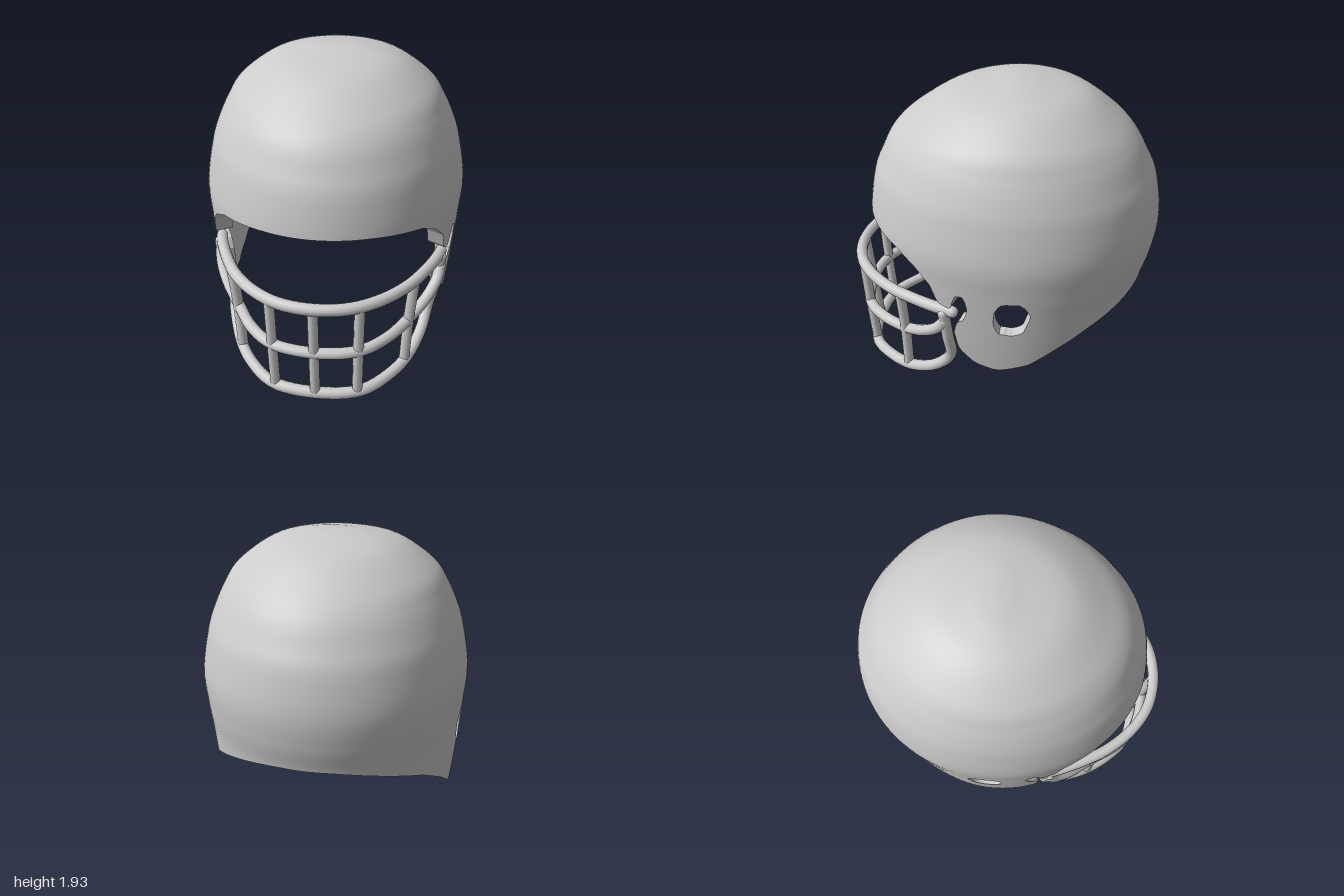
import * as THREE from 'three';

const V = (x, y, z) => new THREE.Vector3(x, y, z);
const grey = new THREE.MeshStandardMaterial({ color: 0xcccccc });

// Shell cross-sections from crown to ear flap: y, half width, front z, back z
const sections = [
  [1.935, 0, -0.1, -0.1], [1.92, 0.2, 0.03, -0.25], [1.86, 0.41, 0.32, -0.5], [1.72, 0.605, 0.55, -0.7],
  [1.6, 0.685, 0.685, -0.82], [1.46, 0.75, 0.762, -0.9], [1.33, 0.79, 0.815, -0.958], [1.1, 0.83, 0.855, -0.995],
  [0.9, 0.82, 0.86, -0.975], [0.72, 0.805, 0.86, -0.93], [0.5, 0.785, 0.85, -0.9], [0.27, 0.76, 0.83, -0.85],
];
const spread = new THREE.CatmullRomCurve3(sections.map(s => V(s[1], s[2], s[3])), false, 'catmullrom');
const heights = new THREE.CatmullRomCurve3(sections.map(s => V(0, s[0], 0)), false, 'catmullrom');

// Side outline (z, y) of the shell with brim, jaw prong, notch and ear flap, and the ear hole
const outline = [
  [1.3, 1.14], [1.3, 2.3], [-1.3, 2.3], [-1.3, 0.76], [-0.92, 0.735], [-0.58, 0.59], [-0.4, 0.48], [-0.23, 0.36],
  [-0.04, 0.3], [0.1, 0.34], [0.2, 0.44], [0.225, 0.58], [0.2, 0.67], [0.16, 0.69], [0.135, 0.78], [0.15, 0.87],
  [0.2, 0.885], [0.225, 0.82], [0.24, 0.755], [0.32, 0.78], [0.365, 0.9], [0.465, 1.0], [0.58, 1.065], [0.79, 1.1],
];
const earHole = [
  [-0.07, 0.865], [-0.2, 0.865], [-0.245, 0.775], [-0.2, 0.645], [-0.15, 0.62], [-0.05, 0.62], [-0.02, 0.7], [-0.03, 0.8],
];

// Signed distance to a polygon, positive inside
function inside(poly, px, py) {
  let d = Infinity, sign = -1;
  poly.forEach(([ax, ay], i) => {
    const [bx, by] = poly[(i + 1) % poly.length];
    const ex = bx - ax, ey = by - ay;
    const t = THREE.MathUtils.clamp(((px - ax) * ex + (py - ay) * ey) / (ex * ex + ey * ey), 0, 1);
    d = Math.min(d, Math.hypot(px - ax - t * ex, py - ay - t * ey));
    if ((ay > py) !== (by > py) && px < ax + (ex * (py - ay)) / ey) sign = -sign;
  });
  return sign * d;
}

function surface(u, v) {
  const s = spread.getPoint(v), y = heights.getPoint(v).y;
  const c = Math.cos(u), mid = -0.1;
  return V(s.x * Math.sin(u), y, mid + (c > 0 ? (s.y - mid) * c : (mid - s.z) * c));
}

function shellPoint(u, v) {
  const p = surface(u, v), e = 0.004;
  const n = v < 0.001 ? V(0, 1, 0)
    : surface(u, Math.min(1, v + e)).sub(surface(u, v - Math.min(e, v)))
      .cross(surface(u + e, v).sub(surface(u - e, v))).normalize();
  return { p, n, f: Math.min(inside(outline, p.z, p.y), -inside(earHole, p.z, p.y)) };
}

// Inner side of the shell, thicker around the brim and prongs
function inner({ p, n }) {
  return p.clone().addScaledVector(n, -0.07 - 0.04 * THREE.MathUtils.smoothstep(p.z, 0.1, 0.3));
}

// Thick shell: the dome is trimmed by the side outline, doubled inward and closed along the cut
function shellGeometry(rows, cols) {
  const pos = [], nor = [];
  const put = (p, n) => { pos.push(p.x, p.y, p.z); nor.push(n.x, n.y, n.z); };
  const trim = tri => {
    const out = [];
    tri.forEach((a, i) => {
      const b = tri[(i + 1) % 3];
      if (a.f >= 0) out.push(a);
      if ((a.f >= 0) !== (b.f >= 0)) {
        const t = a.f / (a.f - b.f);
        out.push({ p: a.p.clone().lerp(b.p, t), n: a.n.clone().lerp(b.n, t).normalize(), cut: true });
      }
    });
    for (let i = 1; i < out.length - 1; i++) {
      const t = [out[0], out[i], out[i + 1]];
      t.forEach(a => put(a.p, a.n));
      t.reverse().forEach(a => put(inner(a), a.n.clone().negate()));
    }
    out.forEach((a, i) => {
      const b = out[(i + 1) % out.length];
      if (!a.cut || !b.cut) return;
      const ia = inner(a), ib = inner(b);
      const n = a.p.clone().sub(b.p).cross(ia.clone().sub(a.p)).normalize();
      [b.p, a.p, ia, b.p, ia, ib].forEach(p => put(p, n));
    });
  };
  const grid = [];
  for (let j = 0; j <= rows; j++) {
    grid.push([]);
    for (let i = 0; i <= cols; i++) grid[j].push(shellPoint((i / cols) * Math.PI * 2, j / rows));
  }
  for (let j = 0; j < rows; j++) for (let i = 0; i < cols; i++) {
    const a = grid[j][i], b = grid[j + 1][i], c = grid[j + 1][i + 1], d = grid[j][i + 1];
    trim([a, b, c]);
    if (j > 0) trim([a, c, d]);
  }
  const g = new THREE.BufferGeometry();
  g.setAttribute('position', new THREE.Float32BufferAttribute(pos, 3));
  g.setAttribute('normal', new THREE.Float32BufferAttribute(nor, 3));
  return g;
}

function add(parent, name, geometry) {
  const m = new THREE.Mesh(geometry, grey);
  m.name = name;
  parent.add(m);
  return m;
}

// Round bar through the points, with rounded ends
function bar(parent, name, pts, r) {
  const curve = new THREE.CatmullRomCurve3(pts);
  add(parent, name, new THREE.TubeGeometry(curve, pts.length * 4, r, 10, false));
  for (const p of [pts[0], pts[pts.length - 1]])
    add(parent, name + 'End', new THREE.SphereGeometry(r, 10, 8)).position.copy(p);
}

// Bar across the face, mirrored from its left half (first point on the centre)
function crossBar(parent, name, half, r) {
  const left = half.map(p => V(...p));
  const right = left.slice(1).reverse().map(p => V(-p.x, p.y, p.z));
  bar(parent, name, [...right, ...left], r);
}

export function createModel() {
  const helmet = new THREE.Group();
  helmet.name = 'helmet';
  add(helmet, 'shell', shellGeometry(66, 136));

  // Padding inside the crown, bulging underneath and tipped down to the front
  const profile = [[0, 1.05], [0.25, 1.055], [0.5, 1.075], [0.72, 1.115], [0.9, 1.19], [1, 1.3], [0.9, 1.42], [0.6, 1.62], [0, 1.75]];
  const curve = new THREE.SplineCurve(profile.map(p => new THREE.Vector2(...p)));
  const points = curve.getPoints(32).map(p => p.setX(Math.max(0, p.x)));
  const liner = add(helmet, 'liner', new THREE.LatheGeometry(points, 40));
  liner.scale.set(0.67, 1, 0.75);
  liner.rotation.x = 0.15;
  liner.position.z = -0.24;

  // Face guard
  const guard = new THREE.Group();
  guard.name = 'faceGuard';
  helmet.add(guard);
  crossBar(guard, 'topBar', [[0, 0.71, 0.962], [0.21, 0.71, 0.925], [0.38, 0.71, 0.82], [0.525, 0.71, 0.66],
    [0.62, 0.71, 0.49], [0.685, 0.71, 0.34], [0.715, 0.705, 0.235]], 0.037);
  crossBar(guard, 'middleBar', [[0, 0.37, 0.93], [0.26, 0.375, 0.885], [0.42, 0.385, 0.75], [0.54, 0.405, 0.57],
    [0.65, 0.49, 0.43], [0.705, 0.57, 0.33], [0.715, 0.63, 0.29]], 0.036);
  crossBar(guard, 'bottomBar', [[0, 0.04, 0.905], [0.27, 0.045, 0.86], [0.43, 0.06, 0.72], [0.54, 0.09, 0.56],
    [0.62, 0.18, 0.38], [0.655, 0.31, 0.27], [0.695, 0.5, 0.275], [0.715, 0.69, 0.29]], 0.037);
  bar(guard, 'centreUpright', [V(0, 0.71, 0.955), V(0, 0.37, 0.93), V(0, 0.04, 0.905)], 0.032);
  for (const s of [-1, 1]) {
    bar(guard, 'innerUpright', [V(s * 0.265, 0.71, 0.9), V(s * 0.26, 0.375, 0.885), V(s * 0.255, 0.045, 0.865)], 0.032);
    bar(guard, 'outerUpright', [V(s * 0.565, 0.71, 0.59), V(s * 0.54, 0.405, 0.58), V(s * 0.525, 0.085, 0.58)], 0.034);
  }
  return helmet;
}
